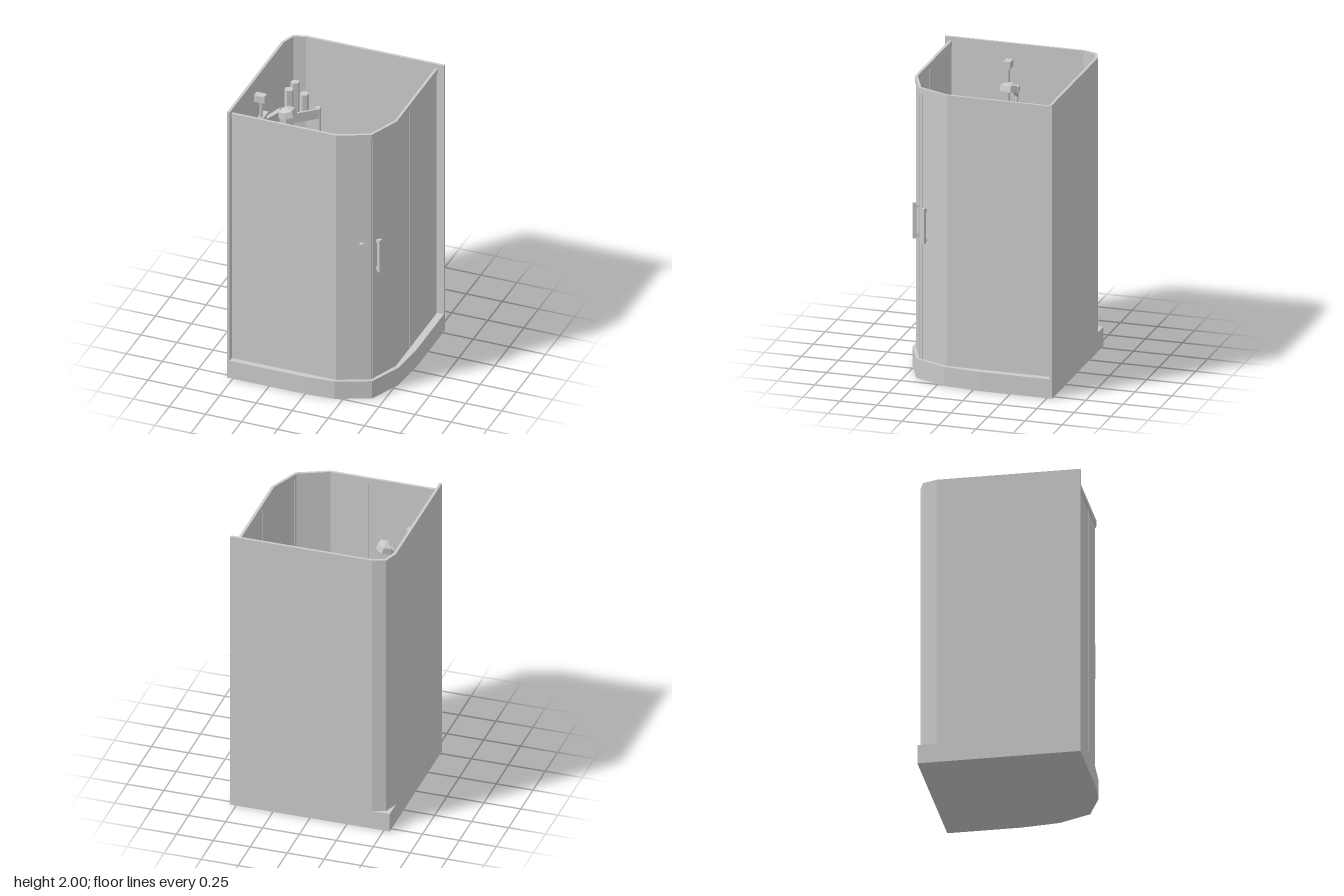
import * as THREE from 'three';

const mat = new THREE.MeshStandardMaterial({ color: 0xcccccc, flatShading: true, side: THREE.DoubleSide });

export function createModel() {
  const root = new THREE.Group();

  const add = (name, geo, x = 0, y = 0, z = 0, parent = root) => {
    const m = new THREE.Mesh(geo, mat);
    m.name = name;
    m.position.set(x, y, z);
    parent.add(m);
    return m;
  };
  const box = (name, w, h, d, x, y, z, parent) => add(name, new THREE.BoxGeometry(w, h, d), x, y, z, parent);
  const toVec = (pts) => pts.map(([x, z]) => new THREE.Vector2(x, z));

  // Vertical prism over a plan outline in x,z
  const slab = (name, pts, y0, y1, hole) => {
    const shape = new THREE.Shape(toVec(pts));
    if (hole) shape.holes.push(new THREE.Path(toVec(hole)));
    const geo = new THREE.ExtrudeGeometry(shape, { depth: y1 - y0, bevelEnabled: false });
    geo.rotateX(Math.PI / 2);
    return add(name, geo, 0, y1, 0);
  };

  // Plan path shifted sideways with mitred corners
  const offset = (pts, d) => pts.map(([x, z], i) => {
    const normal = (a, b) => new THREE.Vector2(a[1] - b[1], b[0] - a[0]).normalize();
    const n1 = normal(pts[Math.max(i - 1, 0)], pts[Math.max(i, 1)]);
    const last = pts.length - 1;
    const n2 = normal(pts[Math.min(i, last - 1)], pts[Math.min(i + 1, last)]);
    const k = d / (1 + n1.dot(n2));
    return [x + (n1.x + n2.x) * k, z + (n1.y + n2.y) * k];
  });
  const band = (name, path, d0, d1, y0, y1) =>
    slab(name, [...offset(path, d0), ...offset(path, d1).reverse()], y0, y1);

  // Tapered six-sided rod between two points
  const rod = (name, a, b, r0, r1 = r0) => {
    const p = new THREE.Vector3(...a), q = new THREE.Vector3(...b);
    const dir = q.clone().sub(p);
    const m = add(name, new THREE.CylinderGeometry(r1, r0, dir.length(), 6));
    m.position.copy(p).lerp(q, 0.5);
    m.quaternion.setFromUnitVectors(new THREE.Vector3(0, 1, 0), dir.normalize());
    return m;
  };

  // Tray: base plate, rim and sloping basin sides
  const outline = [[-0.54, -0.535], [0.54, -0.535], [0.54, -0.045], [0.515, 0.205],
    [0.42, 0.42], [0.2, 0.515], [0, 0.53], [-0.54, 0.53]];
  const rim = [[-0.485, -0.478], [-0.485, -0.478], [0.48, -0.478], [0.48, -0.478], [0.48, -0.05],
    [0.455, 0.19], [0.36, 0.36], [0.36, 0.36], [0.17, 0.455], [-0.485, 0.47], [-0.485, 0.47]];
  const floor = [[-0.43, -0.36], [-0.37, -0.425], [0.36, -0.425], [0.43, -0.35], [0.43, -0.04],
    [0.4, 0.11], [0.35, 0.27], [0.285, 0.35], [0.11, 0.4], [-0.37, 0.42], [-0.43, 0.34]];
  const floorY = 0.06, trayY = 0.13;
  slab('trayBase', outline, 0, floorY);
  const opening = rim.filter((p, i) => i === 0 || p.join() !== rim[i - 1].join());
  slab('trayRim', outline, floorY, trayY, opening);
  const verts = [];
  rim.forEach((r, i) => {
    const j = (i + 1) % rim.length;
    const a = [r[0], trayY, r[1]], b = [rim[j][0], trayY, rim[j][1]];
    const c = [floor[i][0], floorY, floor[i][1]], d = [floor[j][0], floorY, floor[j][1]];
    verts.push(...a, ...c, ...b, ...b, ...c, ...d);
  });
  const basin = new THREE.BufferGeometry();
  basin.setAttribute('position', new THREE.Float32BufferAttribute(verts, 3));
  basin.computeVertexNormals();
  add('basinSides', basin);

  // Drain
  const drain = [[0.064, 0], [0.054, 0.008], [0.044, 0.008], [0.027, 0.002], [0, 0.002]];
  add('drain', new THREE.LatheGeometry(toVec(drain), 6), -0.24, floorY, -0.2);

  // Back and left walls with a bevelled corner
  const wall = [[-0.54, 0.53], [-0.54, -0.41], [-0.505, -0.505], [-0.42, -0.535], [0.54, -0.535]];
  band('walls', wall, 0, 0.018, trayY, 2);

  // Glazing, top rail and slim posts
  const path = [[-0.523, 0.491], [0.2, 0.491], [0.404, 0.4], [0.491, 0.19], [0.491, -0.507]];
  band('glass', path, -0.007, 0.001, trayY, 1.936);
  band('topRail', path, -0.009, 0.009, 1.936, 1.975);
  const postY = (trayY + 1.936) / 2, postH = 1.936 - trayY;
  const post = (name, x, z, turn) => {
    box(name, 0.012, postH, 0.014, x, postY, z).rotation.y = turn;
  };
  post('frontPost', -0.055, 0.488, 0);
  post('sidePost', 0.488, -0.05, Math.PI / 2);
  post('frontDoorEdge', 0.388, 0.404, 0.42);
  post('sideDoorEdge', 0.407, 0.384, 1.17);

  // Door handles: bar on two standoffs
  const handle = (name, x, z, turn) => {
    const g = new THREE.Group();
    g.name = name;
    g.position.set(x, 1.05, z);
    g.rotation.y = turn;
    box('handleBar', 0.026, 0.24, 0.022, 0, 0, 0, g);
    for (const s of [-1, 1]) box('handleStandoff', 0.016, 0.02, 0.04, 0, s * 0.1, -0.026, g);
    root.add(g);
  };
  handle('frontHandle', 0.36, 0.452, 0.42);
  handle('sideHandle', 0.45, 0.362, 1.17);

  // Corner caddy: two shelves, raised lips and end posts
  const shelf = [[-0.522, -0.335], [-0.522, -0.41], [-0.49, -0.49], [-0.41, -0.517],
    [-0.315, -0.517], [-0.315, -0.485], [-0.485, -0.345]];
  const lip = [[-0.522, -0.345], [-0.485, -0.345], [-0.325, -0.485], [-0.325, -0.517]];
  for (const y of [1.03, 1.43]) {
    slab('caddyShelf', shelf, y, y + 0.015);
    band('caddyLip', lip, 0, 0.014, y, y + 0.07);
  }
  box('caddyPost', 0.03, 0.47, 0.034, -0.325, 1.265, -0.502);
  box('caddyPost', 0.034, 0.47, 0.02, -0.506, 1.265, -0.34);

  // Bottles on the upper shelf
  for (const [x, z, top] of [[-0.475, -0.475, 1.675], [-0.41, -0.475, 1.6], [-0.488, -0.405, 1.655]]) {
    const h = top - 1.445;
    add('bottle', new THREE.CylinderGeometry(0.03, 0.03, h, 6), x, 1.445 + h / 2, z);
  }

  // Mixer tap: wall plate, barrel and pointed knob
  rod('mixerPlate', [-0.524, 1.12, -0.105], [-0.497, 1.12, -0.105], 0.08, 0.07);
  rod('mixerBarrel', [-0.497, 1.12, -0.105], [-0.455, 1.12, -0.105], 0.04);
  rod('mixerKnob', [-0.455, 1.12, -0.105], [-0.435, 1.12, -0.105], 0.04, 0.012);

  // Riser bar with brackets and a sliding holder
  rod('riserBar', [-0.48, 1.25, 0.09], [-0.48, 1.87, 0.09], 0.012);
  for (const y of [1.25, 1.87]) box('riserBracket', 0.074, 0.05, 0.045, -0.487, y, 0.09);
  box('slidingHolder', 0.04, 0.04, 0.09, -0.48, 1.71, 0.06);

  // Hand shower
  rod('showerHandle', [-0.5, 1.66, 0.035], [-0.36, 1.775, 0.035], 0.012, 0.022);
  rod('showerHead', [-0.318, 1.745, 0.035], [-0.328, 1.785, 0.035], 0.062, 0.055);
  rod('showerHeadCap', [-0.328, 1.785, 0.035], [-0.332, 1.8, 0.035], 0.055, 0.015);

  // Wall outlet and hose
  box('outletPlate', 0.03, 0.075, 0.075, -0.51, 1.1, 0.247);
  box('outlet', 0.09, 0.04, 0.04, -0.46, 1.1, 0.25);
  const hose = new THREE.CatmullRomCurve3([[-0.5, 1.66, 0.035], [-0.485, 1.3, 0.05], [-0.475, 0.85, 0.13],
    [-0.455, 0.84, 0.22], [-0.445, 1.09, 0.25]].map((p) => new THREE.Vector3(...p)));
  add('hose', new THREE.TubeGeometry(hose, 24, 0.009, 6));

  return root;
}
